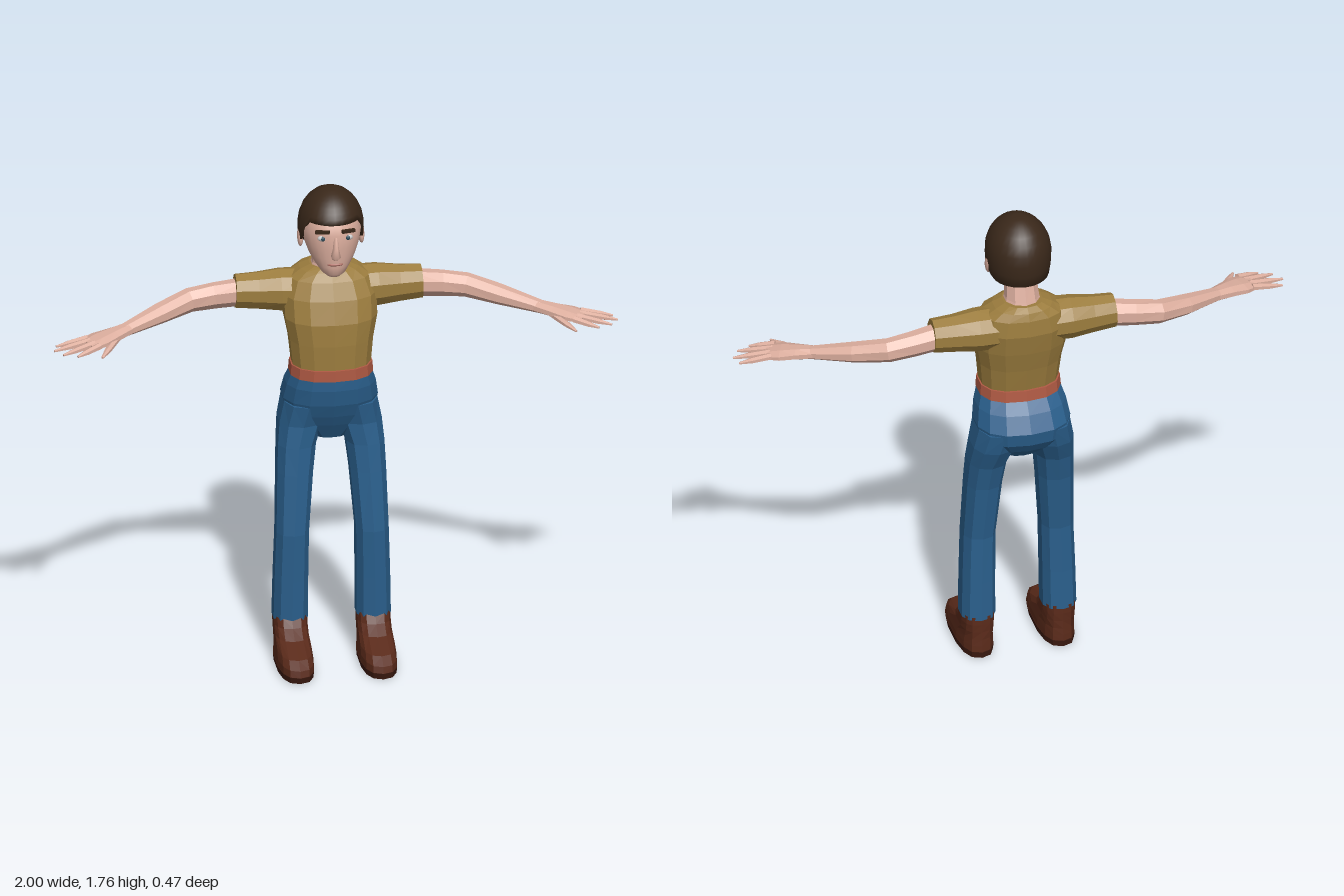
import * as THREE from 'three';

const V = (x, y, z) => new THREE.Vector3(x, y, z);
const UP = V(0, 1, 0);
const mat = (color, flatShading = true) => new THREE.MeshStandardMaterial({ color, flatShading });

// Skin closed rings of equal length, with a fan cap at both ends
function loft(rings) {
  const n = rings[0].length, pos = [], idx = [];
  rings.forEach(r => r.forEach(p => pos.push(p.x, p.y, p.z)));
  for (let i = 0; i < rings.length - 1; i++) {
    for (let j = 0; j < n; j++) {
      const a = i * n + j, b = i * n + (j + 1) % n;
      idx.push(a, b, b + n, a, b + n, a + n);
    }
  }
  [0, rings.length - 1].forEach(i => {
    const c = rings[i].reduce((s, p) => s.add(p), V(0, 0, 0)).divideScalar(n);
    const k = pos.length / 3;
    pos.push(c.x, c.y, c.z);
    for (let j = 0; j < n; j++) {
      const a = i * n + j, b = i * n + (j + 1) % n;
      if (i === 0) idx.push(k, b, a); else idx.push(k, a, b);
    }
  });
  const g = new THREE.BufferGeometry();
  g.setAttribute('position', new THREE.Float32BufferAttribute(pos, 3));
  g.setIndex(idx);
  g.computeVertexNormals();
  return g;
}

// Rounded (super-elliptic) ring around c, spanned by u and v
function ring(c, u, v, sides, power) {
  return Array.from({ length: sides }, (_, j) => {
    const t = (j + 0.5) / sides * Math.PI * 2, co = Math.cos(t), si = Math.sin(t);
    const f = w => Math.sign(w) * Math.pow(Math.abs(w), 2 / power);
    return c.clone().addScaledVector(u, f(co)).addScaledVector(v, f(si));
  });
}

// Upright body from rows of [y, half width, front z, back z, centre x]
const stack = (rows, sides = 14, power = 2.4) => loft(rows.map(([y, w, zf, zb, cx = 0]) =>
  ring(V(cx, y, (zf + zb) / 2), V(w, 0, 0), V(0, 0, -(zf - zb) / 2), sides, power)));

// Limb along rows of [x, y, z, horizontal radius, vertical radius]
function limb(rows, sides = 8) {
  const p = rows.map(r => V(r[0], r[1], r[2]));
  return loft(rows.map((r, i) => {
    const d = p[Math.min(i + 1, p.length - 1)].clone().sub(p[Math.max(i - 1, 0)]).normalize();
    const u = UP.clone().cross(d).normalize(), v = d.clone().cross(u);
    return ring(p[i], u.multiplyScalar(r[3]), v.multiplyScalar(r[4]), sides, 2);
  }));
}

function ellipsoid(x, y, z, rx, ry, rz, tilt = 0) {
  return new THREE.SphereGeometry(1, 12, 8).scale(rx, ry, rz).rotateX(tilt).translate(x, y, z);
}

function mirrored(geo) {
  const g = geo.clone().scale(-1, 1, 1), ix = g.index.array;
  for (let i = 0; i < ix.length; i += 3) [ix[i + 1], ix[i + 2]] = [ix[i + 2], ix[i + 1]];
  g.computeVertexNormals();
  return g;
}

// Hair cap: a dome whose lower edge follows the hairline
function hairCap() {
  const sides = 28, steps = 8;
  const row = (f, shrink) => Array.from({ length: sides }, (_, j) => {
    const t = j / sides * Math.PI * 2, front = -Math.sin(t);
    const low = front > 0.55 ? 1.67 : front > 0.2 ? THREE.MathUtils.lerp(1.58, 1.67, (front - 0.2) / 0.35)
      : 1.545 + 0.035 * Math.max(0, (front + 0.5) / 0.7);
    const y = low + (1.763 - low) * Math.sin(f * Math.PI / 2);
    const h = (y - 1.63) / 0.135;
    const r = shrink * (h > 0 ? Math.sqrt(1 - h * h) : 1 - 0.18 * h * h);
    return V(0.116 * r * Math.cos(t), y, -0.055 + (front > 0 ? 0.137 : 0.131) * r * front);
  });
  const rings = [row(0, 0.86)];
  for (let i = 0; i <= steps; i++) rings.push(row(i / steps, 1));
  return loft(rings);
}

export function createModel() {
  const model = new THREE.Group();
  const skin = mat(0xdcae9e), skinSmooth = mat(0xdcae9e, false);
  const shirt = mat(0x9c7d3e), denim = mat(0x2a5f8c), leather = mat(0x5a2a1a);
  const hair = mat(0x3a281a, false), sole = mat(0x3c1a10);

  const add = (name, geo, material) => {
    const m = new THREE.Mesh(geo, material);
    m.name = name;
    model.add(m);
  };
  const pair = (name, geo, material) => {
    add(name + 'Left', geo, material);
    add(name + 'Right', mirrored(geo), material);
  };

  // Trunk
  add('shirt', stack([
    [1.1, 0.14, 0.055, -0.16], [1.2, 0.15, 0.058, -0.18], [1.28, 0.166, 0.055, -0.2],
    [1.36, 0.168, 0.03, -0.215], [1.42, 0.145, 0, -0.21], [1.447, 0.105, -0.02, -0.2],
    [1.462, 0.07, -0.035, -0.18],
  ]), shirt);
  add('belt', stack([[1.07, 0.149, 0.064, -0.174], [1.11, 0.146, 0.064, -0.17]]), mat(0xb05a44));
  add('hips', stack([
    [0.82, 0.06, -0.03, -0.13], [0.88, 0.125, 0.005, -0.2], [0.92, 0.162, 0.025, -0.228],
    [0.97, 0.171, 0.045, -0.237], [1.03, 0.161, 0.056, -0.205], [1.08, 0.145, 0.056, -0.165],
  ]), denim);

  // Legs and shoes
  pair('trouserLeg', stack([
    [0.15, 0.063, 0.032, -0.115, 0.147], [0.3, 0.062, 0.036, -0.11, 0.145],
    [0.48, 0.06, 0.042, -0.107, 0.141], [0.7, 0.066, 0.024, -0.135, 0.129],
    [0.8, 0.07, 0.016, -0.16, 0.121], [0.88, 0.08, 0.012, -0.198, 0.104],
    [0.96, 0.082, 0.03, -0.22, 0.086],
  ], 10), denim);
  pair('shoe', stack([
    [0.02, 0.064, 0.235, -0.12, 0.147], [0.045, 0.064, 0.228, -0.118, 0.147],
    [0.07, 0.062, 0.19, -0.115, 0.147], [0.1, 0.06, 0.09, -0.113, 0.147],
    [0.13, 0.06, 0.045, -0.113, 0.147], [0.162, 0.06, 0.028, -0.112, 0.147],
  ], 14, 2.6), leather);
  pair('sole', stack([[0, 0.064, 0.232, -0.12, 0.147], [0.022, 0.066, 0.237, -0.122, 0.147]], 14, 2.6), sole);

  // Arms
  pair('sleeve', limb([
    [0.08, 1.36, -0.11, 0.085, 0.075], [0.17, 1.36, -0.115, 0.078, 0.077],
    [0.25, 1.36, -0.116, 0.064, 0.068], [0.33, 1.362, -0.116, 0.057, 0.062],
  ], 10), shirt);
  pair('arm', limb([
    [0.28, 1.36, -0.116, 0.05, 0.05], [0.4, 1.345, -0.126, 0.042, 0.047],
    [0.49, 1.333, -0.125, 0.042, 0.043], [0.6, 1.312, -0.073, 0.042, 0.036],
    [0.74, 1.287, 0.004, 0.029, 0.022],
  ]), skin);
  pair('palm', limb([
    [0.72, 1.29, -0.006, 0.03, 0.022], [0.78, 1.283, 0.026, 0.043, 0.021],
    [0.83, 1.277, 0.051, 0.056, 0.018], [0.88, 1.271, 0.074, 0.05, 0.011],
  ]), skin);

  // Fingers: base x, z, then tip x, z
  [
    [0.838, 0.105, 0.922, 0.145], [0.853, 0.08, 0.97, 0.124],
    [0.866, 0.055, 0.997, 0.084], [0.872, 0.03, 0.985, 0.044],
    [0.77, 0.045, 0.838, 0.165],
  ].forEach(([x, z, tx, tz], i) => {
    const mid = f => [x + (tx - x) * f, 1.277 - 0.02 * f, z + (tz - z) * f];
    pair(i === 4 ? 'thumb' : 'finger' + (i + 1), limb([
      [...mid(0), 0.015, 0.012], [...mid(0.6), 0.0125, 0.01], [...mid(1), 0.005, 0.004],
    ], 6), skin);
  });

  // Neck and head
  add('neck', stack([
    [1.42, 0.08, -0.03, -0.18], [1.47, 0.062, -0.037, -0.165], [1.55, 0.055, -0.02, -0.14],
  ], 10, 2), skin);
  add('head', stack([
    [1.463, 0.024, 0.045, -0.01], [1.478, 0.043, 0.062, -0.04], [1.505, 0.062, 0.068, -0.075],
    [1.54, 0.083, 0.072, -0.12], [1.58, 0.098, 0.076, -0.15], [1.63, 0.107, 0.078, -0.165],
    [1.68, 0.098, 0.066, -0.163], [1.72, 0.07, 0.02, -0.13], [1.745, 0.03, -0.02, -0.09],
  ], 24, 2), skinSmooth);
  add('hair', hairCap(), hair);
  add('nose', stack([
    [1.542, 0.013, 0.085, 0.05], [1.555, 0.018, 0.107, 0.05],
    [1.585, 0.011, 0.097, 0.05], [1.625, 0.008, 0.081, 0.05],
  ], 8, 2), skinSmooth);
  pair('ear', ellipsoid(0.108, 1.585, -0.052, 0.011, 0.036, 0.022, -0.2), skinSmooth);

  // Face
  pair('eye', ellipsoid(0.044, 1.62, 0.061, 0.019, 0.011, 0.01), mat(0xe4e4e4, false));
  pair('iris', ellipsoid(0.044, 1.62, 0.067, 0.008, 0.009, 0.006), mat(0x33505f, false));
  pair('eyebrow', new THREE.BoxGeometry(0.05, 0.011, 0.012).rotateY(0.35).rotateZ(-0.06)
    .translate(0.046, 1.646, 0.068), hair);
  add('mouth', ellipsoid(0, 1.519, 0.064, 0.028, 0.006, 0.009), mat(0xa9695f, false));
  return model;
}
